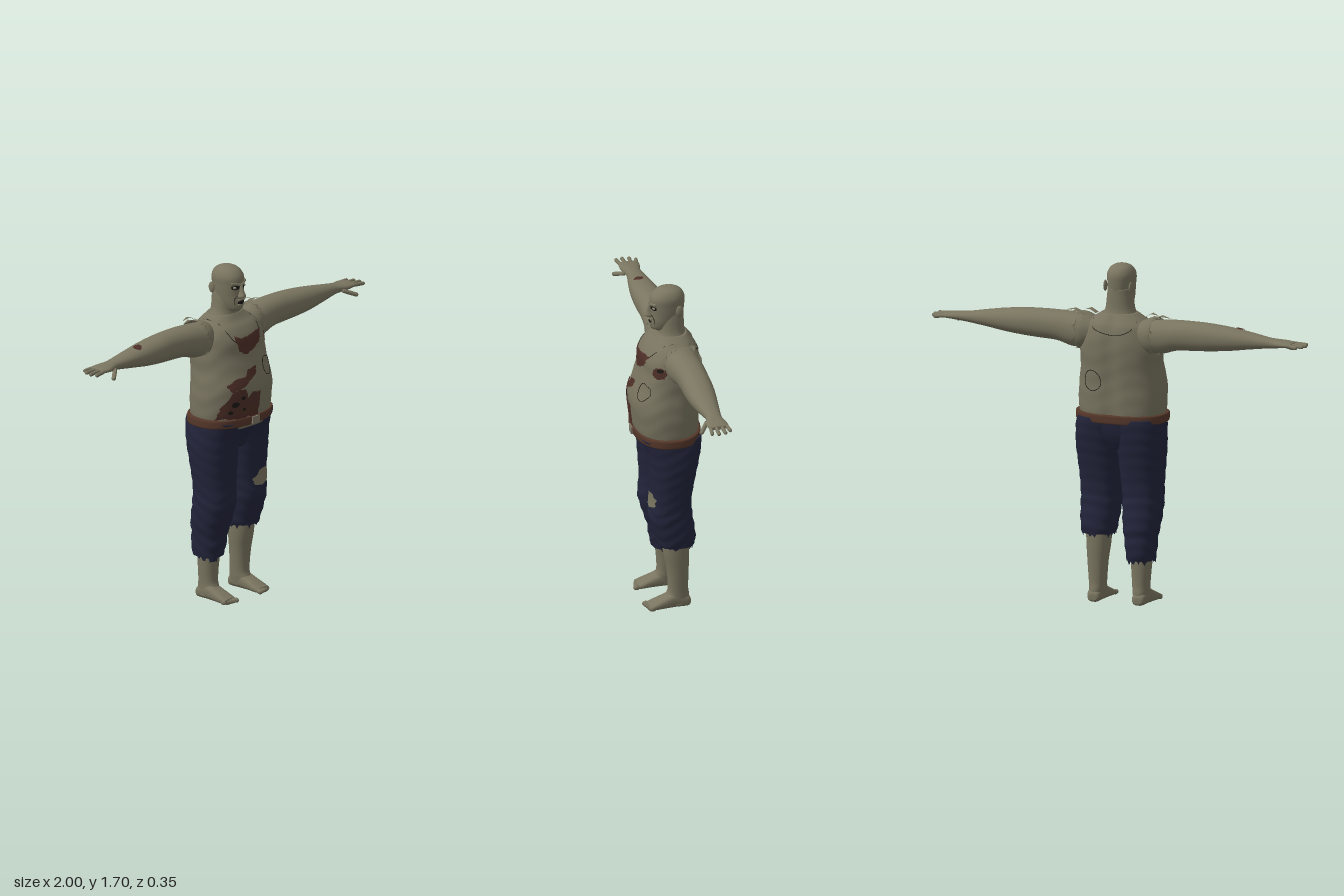
import * as THREE from 'three';

const mat = (name, color) => {
  const m = new THREE.MeshStandardMaterial({ color, side: THREE.DoubleSide });
  m.name = name;
  return m;
};
const skin = mat('skin', 0x7a7560), vest = mat('vest', 0x77725e), denim = mat('denim', 0x22243a);
const blood = mat('dried blood', 0x4d2e27), leather = mat('leather', 0x55372a);
const dark = mat('dark', 0x1a1814), metal = mat('buckle metal', 0x7d7766), eyeMat = mat('eye', 0x8f8b78);

let seed = 7;
const rnd = () => (seed = (seed * 16807) % 2147483647) / 2147483647;

// Axis order: (u, v, t) -> world, where t runs along the part
const place = {
  x: (u, v, t) => [t, u, v],
  y: (u, v, t) => [v, t, u],
  z: (u, v, t) => [u, v, t],
};
const spline = (a, b, c, d, f) =>
  b + 0.5 * f * (c - a + f * (2 * a - 5 * b + 4 * c - d + f * (3 * (b - c) + d - a)));

// Smooth skin through rows of [t, uMin, uMax, vMin, vMax]
function loft(axis, rows, { n = 2.2, seg = 40, steps = 6, bump = () => 1, hem = 0 } = {}) {
  const rings = [];
  const last = rows.length - 1;
  for (let i = 0; i <= last * steps; i++) {
    const k = Math.min(Math.floor(i / steps), last - 1), f = i / steps - k;
    const row = j => rows[Math.min(Math.max(j, 0), last)];
    rings.push(rows[0].map((_, c) => spline(row(k - 1)[c], row(k)[c], row(k + 1)[c], row(k + 2)[c], f)));
  }
  const pos = [], idx = [];
  const sp = x => Math.sign(x) * Math.abs(x) ** (2 / n);
  rings.forEach(([t, u0, u1, v0, v1], i) => {
    for (let j = 0; j < seg; j++) {
      const a = j / seg * Math.PI * 2, r = bump(t, a) / 2;
      const dt = hem && i === 0 ? hem * (rnd() - 0.35) : 0;
      pos.push(...place[axis]((u0 + u1) / 2 + (u1 - u0) * r * sp(Math.cos(a)),
        (v0 + v1) / 2 + (v1 - v0) * r * sp(Math.sin(a)), t + dt));
      if (i < rings.length - 1) {
        const p = i * seg + j, q = i * seg + (j + 1) % seg;
        idx.push(p, q, q + seg, p, q + seg, p + seg);
      }
    }
  });
  // End caps; a torn hem stays open
  [0, rings.length - 1].forEach(i => {
    if (hem && i === 0) return;
    const [t, u0, u1, v0, v1] = rings[i], c = pos.length / 3;
    pos.push(...place[axis]((u0 + u1) / 2, (v0 + v1) / 2, t));
    for (let j = 0; j < seg; j++) {
      const p = i * seg + j, q = i * seg + (j + 1) % seg;
      idx.push(...(i ? [c, p, q] : [c, q, p]));
    }
  });
  const g = meshData(pos, idx);
  // Point on the surface for a given v and t, lifted outward
  g.on = (v, t, side = 1, lift = 0.005) => {
    let i = 0;
    while (i < rings.length - 2 && rings[i + 1][0] < t) i++;
    const A = rings[i], B = rings[i + 1], f = THREE.MathUtils.clamp((t - A[0]) / (B[0] - A[0]), 0, 1);
    const [, u0, u1, v0, v1] = A.map((x, c) => x + (B[c] - x) * f);
    const w = Math.min(1, Math.abs((v - (v0 + v1) / 2) / ((v1 - v0) / 2)));
    return place[axis]((u0 + u1) / 2 + side * ((u1 - u0) / 2 * (1 - w ** n) ** (1 / n) + lift), v, t);
  };
  return g;
}
function meshData(pos, idx) {
  const g = new THREE.BufferGeometry();
  g.setAttribute('position', new THREE.Float32BufferAttribute(pos, 3));
  g.setIndex(idx);
  g.computeVertexNormals();
  return g;
}
// Mirrored copy across x, keeping faces outward
function mirror(g) {
  const m = g.clone().scale(-1, 1, 1), a = m.index.array;
  for (let i = 0; i < a.length; i += 3) [a[i], a[i + 1]] = [a[i + 1], a[i]];
  m.computeVertexNormals();
  return m;
}
// Ragged painted patch following a lofted surface; outline is [v, t] pairs
function patch(surface, outline, { side = 1, lift = 0.005, rough = 0.08 } = {}) {
  const edge = [], sub = 5, rings = 7, count = outline.length;
  outline.forEach((p, i) => {
    const q = outline[(i + 1) % count];
    for (let k = 0; k < sub; k++) edge.push([0, 1].map(c => p[c] + (q[c] - p[c]) * k / sub));
  });
  const mid = [0, 1].map(c => outline.reduce((s, p) => s + p[c], 0) / count);
  const pos = [], idx = [], m = edge.length;
  const wob = edge.map(() => 1 + (rnd() - 0.5) * 2 * rough);
  for (let r = 0; r <= rings; r++) edge.forEach((e, j) => {
    const s = r / rings * wob[j];
    pos.push(...surface.on(mid[0] + (e[0] - mid[0]) * s, mid[1] + (e[1] - mid[1]) * s, side, lift));
    if (r) {
      const p = r * m + j, q = r * m + (j + 1) % m;
      idx.push(p - m, p, q, p - m, q, q - m);
    }
  });
  return meshData(pos, idx);
}
const blob = (cx, cy, rx, ry, k = 9) => Array.from({ length: k }, (_, i) => {
  const a = i / k * Math.PI * 2, r = 0.8 + 0.3 * rnd();
  return [cx + rx * r * Math.cos(a), cy + ry * r * Math.sin(a)];
});
// Thin torn seam lying on a surface
const seam = (surface, pts, side = 1, closed = false) => new THREE.TubeGeometry(
  new THREE.CatmullRomCurve3(pts.map(p => new THREE.Vector3(...surface.on(...p, side, 0.001))), closed),
  pts.length * 5, 0.0016, 5, closed);

export function createModel() {
  const root = new THREE.Group();
  root.name = 'figure';
  const add = (name, g, m) => {
    const mesh = new THREE.Mesh(g, m);
    mesh.name = name;
    root.add(mesh);
    return mesh;
  };
  const both = (name, g, m) => { add(name + 'Left', g, m); add(name + 'Right', mirror(g), m); };
  const capsule = (a, b, r) => {
    const A = new THREE.Vector3(...a), B = new THREE.Vector3(...b), d = B.clone().sub(A);
    const g = new THREE.CapsuleGeometry(r, d.length(), 5, 10);
    g.applyQuaternion(new THREE.Quaternion().setFromUnitVectors(new THREE.Vector3(0, 1, 0), d.normalize()));
    return g.translate(...A.add(B).multiplyScalar(0.5).toArray());
  };
  const ball = (x, y, z, rx, ry, rz) => new THREE.SphereGeometry(1, 16, 12).scale(rx, ry, rz).translate(x, y, z);

  // Torso in its vest, with a groove down the spine
  const torso = loft('y', [[0.9, -0.15, 0.14, -0.2, 0.2], [0.96, -0.162, 0.155, -0.217, 0.217],
    [1.05, -0.164, 0.167, -0.221, 0.221], [1.12, -0.164, 0.17, -0.216, 0.216], [1.2, -0.168, 0.147, -0.206, 0.206],
    [1.28, -0.172, 0.123, -0.206, 0.206], [1.35, -0.168, 0.116, -0.192, 0.192], [1.4, -0.155, 0.088, -0.17, 0.17],
    [1.43, -0.135, 0.055, -0.135, 0.135], [1.46, -0.112, 0.032, -0.088, 0.088]],
  { n: 2.35, seg: 72, bump: (t, a) => (1 - 0.06 * Math.exp(-(((a - Math.PI) / 0.13) ** 2)))
    * (1 + 0.004 * Math.sin(t * 70 + 3 * Math.sin(a * 3))) });
  add('vestTorso', torso, vest);

  // Neck and head
  add('neck', loft('y', [[1.39, -0.13, 0.04, -0.115, 0.115], [1.44, -0.112, 0.036, -0.09, 0.09],
    [1.48, -0.102, 0.03, -0.073, 0.073], [1.54, -0.1, 0.03, -0.065, 0.065], [1.58, -0.1, 0.02, -0.06, 0.06]]), skin);
  const head = loft('y', [[1.472, -0.05, 0.04, -0.03, 0.03], [1.488, -0.075, 0.066, -0.044, 0.044],
    [1.52, -0.09, 0.07, -0.056, 0.056], [1.56, -0.098, 0.067, -0.063, 0.063], [1.61, -0.104, 0.069, -0.067, 0.067],
    [1.65, -0.104, 0.066, -0.068, 0.068], [1.68, -0.088, 0.044, -0.054, 0.054],
    [1.695, -0.06, 0.014, -0.033, 0.033], [1.7, -0.035, -0.008, -0.012, 0.012]], { n: 2.1 });
  add('head', head, skin);
  add('nose', loft('y', [[1.542, 0.05, 0.07, -0.01, 0.01], [1.555, 0.05, 0.096, -0.019, 0.019],
    [1.58, 0.05, 0.088, -0.011, 0.011], [1.615, 0.05, 0.076, -0.008, 0.008]], { seg: 16 }), skin);
  both('eyeSocket', patch(head, blob(0.03, 1.602, 0.021, 0.012), { lift: 0.001 }), dark);
  both('eye', ball(0.03, 1.602, 0.056, 0.014, 0.007, 0.008), eyeMat);
  both('brow', capsule([0.01, 1.616, 0.069], [0.045, 1.624, 0.052], 0.007), skin);
  both('cheekCrease', seam(head, [[0.02, 1.56], [0.033, 1.545], [0.035, 1.515]]), dark);
  both('ear', ball(0.068, 1.59, -0.065, 0.008, 0.028, 0.018), skin);
  add('mouth', patch(head, blob(0, 1.524, 0.026, 0.011), { lift: 0.003 }), dark);
  add('upperLip', capsule([-0.018, 1.536, 0.068], [0.018, 1.536, 0.068], 0.006), skin);
  add('lowerLip', capsule([-0.016, 1.512, 0.068], [0.016, 1.512, 0.068], 0.006), skin);

  // Arms and hands
  const arm = loft('x', [[0.09, 1.31, 1.42, -0.125, 0.015], [0.17, 1.275, 1.432, -0.138, 0.036],
    [0.24, 1.272, 1.44, -0.135, 0.033], [0.32, 1.294, 1.444, -0.132, 0.025], [0.42, 1.3, 1.444, -0.128, 0.02],
    [0.5, 1.305, 1.44, -0.126, 0.022], [0.6, 1.315, 1.43, -0.118, 0.018], [0.7, 1.33, 1.415, -0.105, 0.005],
    [0.8, 1.344, 1.398, -0.093, -0.012], [0.84, 1.348, 1.393, -0.092, -0.008], [0.88, 1.353, 1.39, -0.1, 0.002],
    [0.92, 1.358, 1.385, -0.102, 0], [0.935, 1.363, 1.38, -0.096, -0.006]]);
  both('arm', arm, skin);
  [[-0.09, -0.099, 0.965], [-0.065, -0.07, 0.985], [-0.038, -0.036, 0.991], [-0.012, -0.004, 0.982]].forEach(
    ([z0, z1, x], i) => both('finger' + (i + 1), capsule([0.91, 1.372, z0], [x, 1.367, z1], 0.0095), skin));
  both('thumb', capsule([0.845, 1.36, -0.008], [0.895, 1.337, 0.028], 0.011), skin);

  // Torn armholes and loose shreds on the shoulders
  const sleeve = loft('x', [[-0.205, 1.263, 1.45, -0.146, 0.044], [-0.17, 1.268, 1.445, -0.146, 0.042],
    [-0.12, 1.3, 1.425, -0.13, 0.02]], { seg: 44, hem: 0.05 });
  both('tornArmhole', mirror(sleeve), vest);
  [[0.13, 0.2, -0.02], [0.18, 0.285, -0.06], [0.16, 0.25, -0.095]].forEach(([x0, x1, z], i) => both('shred' + i,
    meshData([x0, 1.44, z - 0.02, x0, 1.44, z + 0.02, (x0 + x1) / 2, 1.462, z + 0.012, x1, 1.45, z,
      (x0 + x1) / 2, 1.458, z - 0.016], [0, 1, 2, 0, 2, 4, 4, 2, 3]), vest));

  // Bare legs and feet
  both('shin', loft('y', [[0.015, -0.1, 0.02, 0.082, 0.158], [0.06, -0.1, 0.018, 0.076, 0.158],
    [0.1, -0.095, 0.006, 0.073, 0.159], [0.2, -0.097, 0.012, 0.066, 0.167], [0.3, -0.1, 0.03, 0.055, 0.175],
    [0.42, -0.1, 0.04, 0.05, 0.178]]), skin);
  both('foot', loft('z', [[-0.105, 0.1, 0.138, 0.01, 0.04], [-0.09, 0.086, 0.153, 0, 0.06], [-0.03, 0.08, 0.16, 0, 0.085],
    [0.03, 0.079, 0.165, 0, 0.062], [0.08, 0.077, 0.168, 0, 0.04], [0.108, 0.082, 0.164, 0, 0.028]], { n: 2.6 }), skin);
  for (let i = 0; i < 5; i++) both('toe' + (i + 1),
    ball(0.089 + i * 0.0175, 0.014, 0.113 - i * 0.005, i ? 0.0095 : 0.012, 0.013, 0.018), skin);

  // Trousers with folds and ragged hems at different heights
  const legRows = [[0.34, -0.127, 0.052, 0.032, 0.193], [0.4, -0.13, 0.072, 0.022, 0.203], [0.5, -0.116, 0.1, 0.013, 0.21],
    [0.56, -0.11, 0.098, 0.01, 0.212], [0.62, -0.113, 0.094, 0.004, 0.216], [0.72, -0.13, 0.1, -0.004, 0.225],
    [0.8, -0.146, 0.106, -0.01, 0.23], [0.88, -0.16, 0.12, -0.018, 0.227], [0.94, -0.163, 0.148, -0.03, 0.222]];
  const folds = { seg: 56, hem: 0.05, n: 2.3, bump: (t, a) => 1 + (t < 0.55 ? 0.022 : 0.01)
    * Math.sin(t * 95 + 4 * Math.sin(a + 1) + 2 * Math.sin(a * 2)) };
  const trouser = loft('y', legRows, folds);
  add('trouserLegLeft', trouser, denim);
  add('trouserLegRight', mirror(loft('y', [[0.22, -0.118, 0.03, 0.048, 0.183], [0.28, -0.13, 0.045, 0.04, 0.19],
    ...legRows], folds)), denim);
  add('trouserSeat', loft('y', [[0.78, -0.11, 0.07, -0.15, 0.15], [0.85, -0.145, 0.1, -0.2, 0.2],
    [0.94, -0.163, 0.148, -0.226, 0.226]], { n: 2.4 }), denim);
  add('kneeHole', patch(trouser, [[0.07, 0.565], [0.12, 0.56], [0.17, 0.58], [0.175, 0.62], [0.15, 0.645], [0.1, 0.64],
    [0.09, 0.615], [0.06, 0.6]]), skin);

  // Belt and buckle
  const belt = loft('y', [[0.917, -0.17, 0.157, -0.232, 0.232], [0.925, -0.173, 0.161, -0.235, 0.235],
    [0.953, -0.173, 0.163, -0.235, 0.235], [0.96, -0.169, 0.16, -0.231, 0.231]], { n: 2.35, seg: 64 });
  add('belt', belt, leather);
  add('buckle', new THREE.BoxGeometry(0.05, 0.036, 0.009).translate(0, 0.939, 0.165), metal);

  // Blood stains
  const stain = (name, pts, m = blood, opt) => add(name, patch(torso, pts, opt), m);
  stain('chestStain', [[-0.09, 1.375], [-0.05, 1.357], [0, 1.362], [0.05, 1.372], [0.1, 1.372], [0.085, 1.325],
    [0.05, 1.3], [-0.02, 1.275], [-0.07, 1.29], [-0.08, 1.33]]);
  stain('bellyStain', [[-0.195, 0.965], [-0.09, 0.963], [0.02, 0.963], [0.02, 1.08], [-0.03, 1.095], [-0.06, 1.065],
    [-0.08, 1.12], [-0.14, 1.11], [-0.19, 1.04]]);
  stain('sideStain', [[0.02, 1.21], [0.005, 1.175], [-0.04, 1.15], [-0.08, 1.125], [-0.15, 1.1], [-0.17, 1.14],
    [-0.11, 1.17], [-0.06, 1.17], [-0.04, 1.205]]);
  stain('armpitStain', blob(0.17, 1.31, 0.028, 0.03));
  [[-0.13, 1.04, 0.02], [-0.09, 1.07, 0.013], [-0.15, 1.0, 0.012], [-0.08, 1.01, 0.01], [0.175, 1.325, 0.012]].forEach(
    ([x, y, r], i) => stain('wound' + i, blob(x, y, r, r * 0.8), dark, { lift: 0.007 }));
  add('armStain', mirror(patch(arm, blob(-0.035, 0.65, 0.028, 0.025).map(([z, x]) => [z, x]))), blood);

  // Torn edges of the vest
  const tear = (name, pts, side, closed) => add(name, seam(torso, pts, side, closed), dark);
  tear('frontNeckline', [[-0.115, 1.43], [-0.11, 1.39], [-0.085, 1.345], [0, 1.335], [0.08, 1.35], [0.11, 1.39], [0.115, 1.43]], 1);
  tear('backNeckline', [[-0.115, 1.43], [-0.1, 1.39], [-0.04, 1.365], [0.04, 1.37], [0.1, 1.39], [0.115, 1.43]], -1);
  tear('frontTear', blob(0.12, 1.19, 0.042, 0.045), 1, true);
  tear('backTear', blob(0.1, 1.13, 0.05, 0.055), -1, true);
  return root;
}
